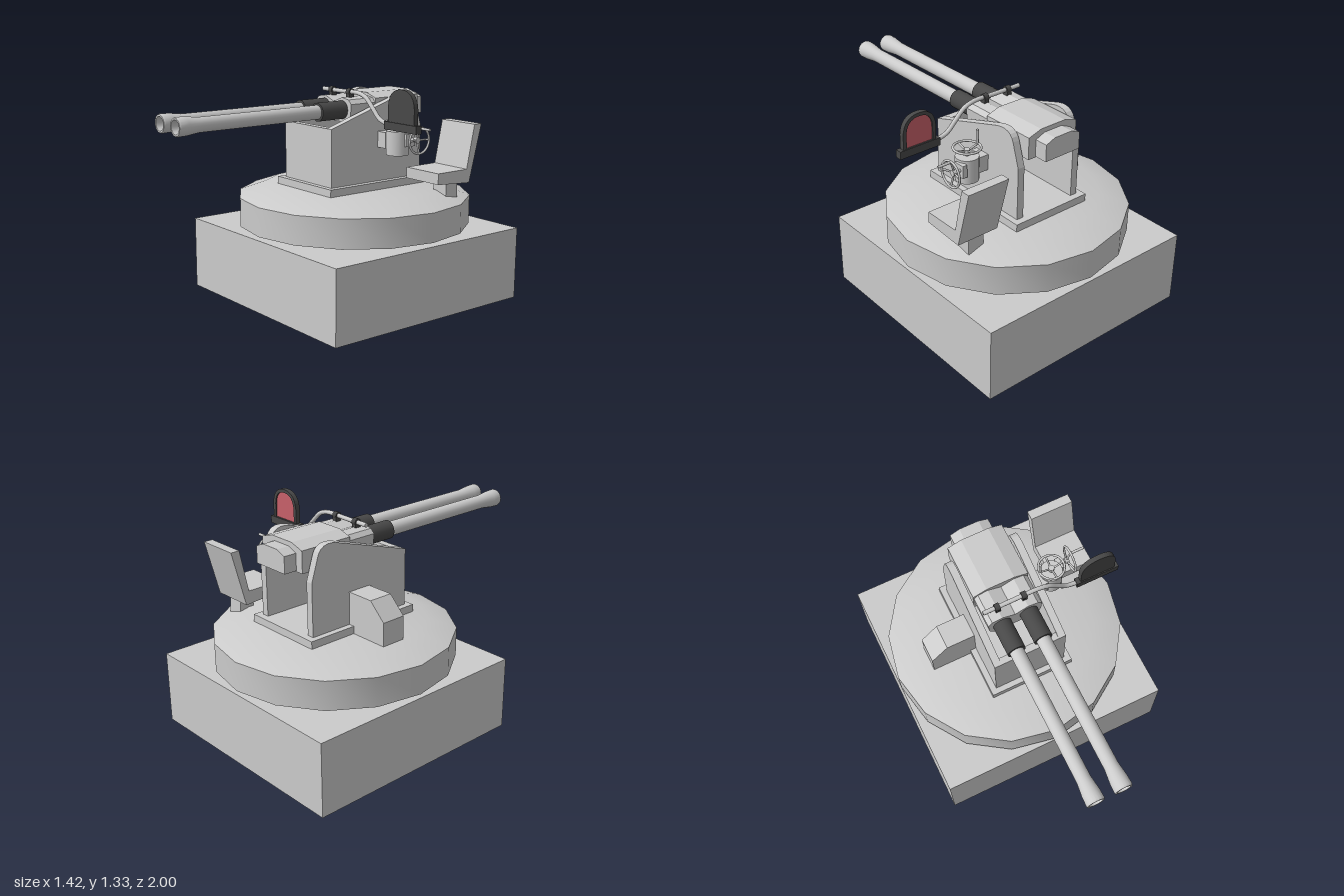
import * as THREE from 'three';
import { toCreasedNormals } from 'three/addons/utils/BufferGeometryUtils.js';

const grey = new THREE.MeshStandardMaterial({ color: 0xcccccc });
const openGrey = new THREE.MeshStandardMaterial({ color: 0xcccccc, side: THREE.DoubleSide });
const dark = new THREE.MeshStandardMaterial({ color: 0x484848 });
const red = new THREE.MeshStandardMaterial({ color: 0xc8606a });

export function createModel() {
  const model = new THREE.Group();
  const CZ = -0.29; // turntable axis

  const add = (name, geo, mat = grey, parent = model) => {
    const mesh = new THREE.Mesh(geo, mat);
    mesh.name = name;
    parent.add(mesh);
    return mesh;
  };
  // Box given by its limits on each axis
  const box = (name, [x0, x1], [y0, y1], [z0, z1], mat, parent) => add(name,
    new THREE.BoxGeometry(x1 - x0, y1 - y0, z1 - z0)
      .translate((x0 + x1) / 2, (y0 + y1) / 2, (z0 + z1) / 2), mat, parent);
  const outline = pts => new THREE.Shape(pts.map(p => new THREE.Vector2(...p)));
  // Profile in (x, y), extruded from z0 to z1
  const frontExtrude = (name, shape, z0, z1, mat, parent) => add(name,
    new THREE.ExtrudeGeometry(shape, { depth: z1 - z0, bevelEnabled: false, curveSegments: 10 })
      .translate(0, 0, z0), mat, parent);
  // Profile in (z, y), extruded from x0 to x1
  const sideExtrude = (name, shape, x0, x1, mat, parent) => add(name,
    new THREE.ExtrudeGeometry(shape, { depth: x1 - x0, bevelEnabled: false, curveSegments: 6 })
      .rotateY(-Math.PI / 2).translate(x1, 0, 0), mat, parent);
  const lathe = (pts, sides) => toCreasedNormals(
    new THREE.LatheGeometry(pts.map(p => new THREE.Vector2(...p)), sides), 0.5);
  // Round rod between two points
  const rod = (name, a, b, r, mat, parent, sides = 10) => {
    const p = new THREE.Vector3(...a), q = new THREE.Vector3(...b);
    const m = add(name, new THREE.CylinderGeometry(r, r, p.distanceTo(q), sides), mat, parent);
    m.position.copy(p).lerp(q, 0.5);
    m.quaternion.setFromUnitVectors(new THREE.Vector3(0, 1, 0), q.sub(p).normalize());
    return m;
  };

  // Square plinth, open underneath
  const plinth = new THREE.BoxGeometry(1.42, 0.442, 1.42);
  const index = Array.from(plinth.index.array);
  index.splice(18, 6);
  plinth.setIndex(index);
  plinth.translate(0, 0.221, CZ);
  add('plinth', plinth, openGrey);

  // Turntable: recessed neck and chamfered disc
  add('turntableNeck', new THREE.CylinderGeometry(0.573, 0.573, 0.04, 32)
    .translate(0, 0.455, CZ));
  add('turntable', lathe([[0, 0.465], [0.71, 0.465], [0.71, 0.64], [0.54, 0.7], [0, 0.7]], 16)
    .translate(0, 0, CZ));

  // Cradle: foot plate, front wall and two shaped cheeks
  const cradle = new THREE.Group();
  cradle.name = 'cradle';
  model.add(cradle);
  box('footPlate', [-0.258, 0.258], [0.69, 0.745], [-0.675, 0.095], grey, cradle);
  box('frontWall', [-0.18, 0.18], [0.745, 1.088], [0.02, 0.062], grey, cradle);
  const cheek = new THREE.Shape();
  cheek.moveTo(-0.635, 0.745);
  cheek.lineTo(0.062, 0.745);
  cheek.lineTo(0.062, 1.088);
  cheek.lineTo(-0.46, 1.25);
  cheek.bezierCurveTo(-0.53, 1.268, -0.575, 1.25, -0.59, 1.2);
  cheek.lineTo(-0.635, 1.06);
  for (const s of [-1, 1]) sideExtrude('cheek', cheek, s * 0.2 - 0.022, s * 0.2 + 0.022, grey, cradle);

  // Receiver: twin-humped front, arched cover, rear block
  const gun = new THREE.Group();
  gun.name = 'gun';
  model.add(gun);
  frontExtrude('receiverFront', outline([[-0.13, 1.1], [0.13, 1.1], [0.16, 1.14], [0.165, 1.21],
    [0.14, 1.235], [0.08, 1.245], [0.0, 1.215], [-0.08, 1.245], [-0.14, 1.235], [-0.165, 1.21],
    [-0.16, 1.14]]), -0.4, -0.13, grey, gun);
  frontExtrude('receiverCover', outline([[-0.17, 1.105], [0.17, 1.105], [0.17, 1.235],
    [0.085, 1.262], [-0.085, 1.262], [-0.17, 1.235]]), -0.655, -0.315, grey, gun);
  frontExtrude('rearBlock', outline([[-0.12, 1.11], [0.12, 1.11], [0.12, 1.21],
    [0.06, 1.235], [-0.06, 1.235], [-0.12, 1.21]]), -0.735, -0.65, grey, gun);

  // Twin barrels with flared hollow muzzles and dark sleeves
  for (const s of [-1, 1]) {
    add('barrel', lathe([[0.042, -0.14], [0.042, 0.86], [0.052, 0.94], [0.054, 0.99], [0.05, 1.0],
      [0.04, 1.0], [0.036, 0.95], [0.03, 0.8], [0, 0.8]], 20)
      .rotateX(Math.PI / 2).translate(s * 0.082, 1.172, 0), grey, gun);
    add('barrelSleeve', new THREE.CylinderGeometry(0.055, 0.055, 0.185, 20)
      .rotateX(Math.PI / 2).translate(s * 0.082, 1.172, -0.036), dark, gun);
  }

  // Sight arm, its clamps and the sight screen
  const sight = new THREE.Group();
  sight.name = 'sight';
  model.add(sight);
  const SZ = -0.19;
  const arm = new THREE.CatmullRomCurve3([[-0.165, 1.272], [0, 1.272], [0.165, 1.272], [0.23, 1.25],
    [0.29, 1.195], [0.35, 1.14], [0.43, 1.117]].map(([x, y]) => new THREE.Vector3(x, y, SZ)));
  add('sightArm', new THREE.TubeGeometry(arm, 40, 0.013, 10), grey, sight);
  rod('armEnd', [-0.167, 1.272, SZ], [-0.16, 1.272, SZ], 0.013, grey, sight);
  for (const s of [-1, 1]) {
    rod('armClamp', [s * 0.082 - 0.015, 1.272, SZ], [s * 0.082 + 0.015, 1.272, SZ], 0.022, dark, sight, 12);
    box('clampFoot', [s * 0.082 - 0.015, s * 0.082 + 0.015], [1.22, 1.262], [SZ - 0.018, SZ + 0.018], dark, sight);
  }
  box('screenTray', [0.41, 0.675], [1.092, 1.138], [SZ - 0.02, SZ + 0.02], dark, sight);
  const arch = (hw, bottom, top, r) => {
    const c = 0.543, sh = new THREE.Shape();
    sh.moveTo(c - hw, bottom);
    sh.lineTo(c + hw, bottom);
    sh.lineTo(c + hw, top - r);
    sh.quadraticCurveTo(c + hw * 0.93, top, c, top);
    sh.quadraticCurveTo(c - hw * 0.93, top, c - hw, top - r);
    return sh;
  };
  const frame = arch(0.108, 1.13, 1.328, 0.105);
  frame.holes.push(arch(0.086, 1.14, 1.308, 0.085));
  frontExtrude('screenFrame', frame, SZ - 0.016, SZ + 0.004, dark, sight);
  frontExtrude('screenBack', arch(0.108, 1.13, 1.328, 0.105), SZ + 0.004, SZ + 0.014, dark, sight);
  frontExtrude('screenGlass', arch(0.09, 1.135, 1.312, 0.088), SZ - 0.008, SZ + 0.004, red, sight);

  // Elevation gearbox with two handwheels
  const gear = new THREE.Group();
  gear.name = 'gearbox';
  model.add(gear);
  box('gearboxBracket', [0.215, 0.29], [0.95, 1.045], [-0.39, -0.29], grey, gear);
  add('gearboxDrum', new THREE.CylinderGeometry(0.067, 0.067, 0.143, 20)
    .translate(0.334, 0.987, -0.345), grey, gear);
  box('shaftBoss', [0.385, 0.415], [0.97, 1.045], [-0.41, -0.34], grey, gear);

  // Dished wheel facing +y, with a crank handle on the rim
  const handwheel = (name, handleAngle) => {
    const w = new THREE.Group();
    w.name = name;
    gear.add(w);
    add('rim', new THREE.TorusGeometry(0.077, 0.007, 8, 24).rotateX(Math.PI / 2), grey, w);
    rod('shaft', [0, -0.08, 0], [0, -0.015, 0], 0.01, grey, w);
    rod('hub', [0, -0.035, 0], [0, -0.01, 0], 0.018, grey, w);
    for (let i = 0; i < 4; i++) {
      const a = i * Math.PI / 2;
      rod('spoke', [0, -0.025, 0], [0.077 * Math.cos(a), 0, 0.077 * Math.sin(a)], 0.006, grey, w, 6);
    }
    const hx = 0.072 * Math.cos(handleAngle), hz = 0.072 * Math.sin(handleAngle);
    rod('handle', [hx, 0, hz], [hx, 0.085, hz], 0.008, grey, w);
    return w;
  };
  handwheel('trainingWheel', Math.PI).position.set(0.334, 1.108, -0.345);
  const side = handwheel('elevatingWheel', Math.PI);
  side.rotation.z = -Math.PI / 2;
  side.position.set(0.478, 1.012, -0.385);

  // Gunner's seat on a short post
  const seat = new THREE.Group();
  seat.name = 'seat';
  model.add(seat);
  sideExtrude('seatPan', outline([[-0.39, 0.775], [-0.39, 0.84], [-0.62, 0.84], [-0.675, 1.1],
    [-0.732, 1.1], [-0.643, 0.757]]), 0.37, 0.635, grey, seat);
  sideExtrude('seatPost', outline([[-0.535, 0.66], [-0.535, 0.79], [-0.625, 0.79], [-0.632, 0.65]]),
    0.452, 0.555, grey, seat);

  // Chamfered box on the opposite side of the cradle
  frontExtrude('sideBox', outline([[-0.498, 0.69], [-0.21, 0.69], [-0.21, 0.94], [-0.395, 0.94],
    [-0.498, 0.84]]), -0.37, -0.22);

  return model;
}
